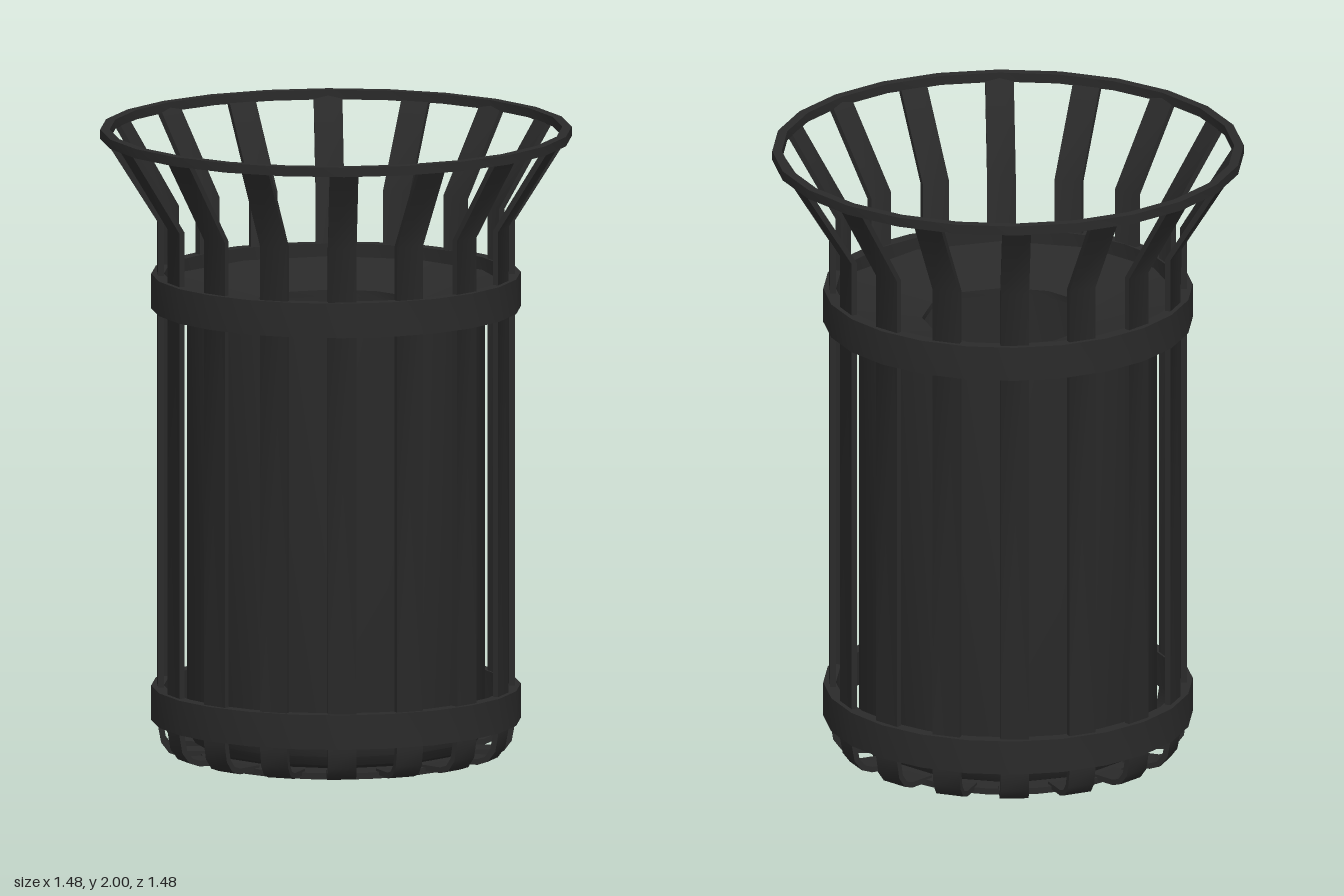
import * as THREE from 'three';
import { toCreasedNormals } from 'three/addons/utils/BufferGeometryUtils.js';

const SLATS = 16;
const material = new THREE.MeshStandardMaterial({ color: 0x2a2a2a, side: THREE.DoubleSide });

// Revolve [radius, height] points, keeping sharp edges
function revolve(name, points, sides, turn = 0) {
  const profile = points.map(([r, y]) => new THREE.Vector2(r, y));
  const geometry = toCreasedNormals(new THREE.LatheGeometry(profile, sides), 0.6);
  geometry.rotateY(turn);
  const mesh = new THREE.Mesh(geometry, material);
  mesh.name = name;
  return mesh;
}

// Hoop with a rectangular section
function hoop(name, inner, outer, y0, y1) {
  return revolve(name, [[inner, y0], [outer, y0], [outer, y1], [inner, y1], [inner, y0]], 24);
}

// Flat bar: a path in the radius/height plane, thickened inwards and given a width
function slatGeometry(path, thickness, width) {
  const pts = path.map(([r, y]) => new THREE.Vector2(r, y));
  const inner = pts.map((p, i) => {
    const a = pts[Math.max(i - 1, 0)];
    const b = pts[Math.min(i + 1, pts.length - 1)];
    const dir = b.clone().sub(a).normalize();
    return new THREE.Vector2(p.x - dir.y * thickness, p.y + dir.x * thickness);
  });
  const shape = new THREE.Shape([...pts, ...inner.reverse()]);
  const geometry = new THREE.ExtrudeGeometry(shape, { depth: width, bevelEnabled: false });
  geometry.translate(0, 0, -width / 2);
  return toCreasedNormals(geometry, 0.6);
}

export function createModel() {
  const group = new THREE.Group();
  group.name = 'litterBin';

  // Slats: curled under at the foot, upright, then flared to the rim
  const slat = slatGeometry([
    [0.40, 0.01], [0.49, 0.01], [0.525, 0.022], [0.55, 0.055], [0.56, 0.11],
    [0.56, 1.71], [0.73, 1.98],
  ], 0.018, 0.09);
  const slats = new THREE.Group();
  slats.name = 'slats';
  for (let i = 0; i < SLATS; i++) {
    const mesh = new THREE.Mesh(slat, material);
    mesh.name = 'slat';
    mesh.rotation.y = (i / SLATS) * Math.PI * 2;
    slats.add(mesh);
  }
  group.add(slats);

  // Hoops holding the slats
  group.add(hoop('lowerBand', 0.54, 0.58, 0.12, 0.23));
  group.add(hoop('upperBand', 0.54, 0.58, 1.43, 1.54));
  group.add(hoop('topRim', 0.71, 0.74, 1.97, 2.0));

  // Base plate
  group.add(revolve('basePlate', [[0, 0], [0.43, 0], [0.43, 0.02], [0, 0.02]], 32));

  // Twelve-sided liner with rounded foot, open at the top
  const turn = Math.PI / 12;
  group.add(revolve('liner', [
    [0, 0.03], [0.40, 0.03], [0.44, 0.045], [0.46, 0.075], [0.468, 0.12], [0.468, 1.45],
    [0.45, 1.45], [0.45, 0.12], [0.42, 0.065], [0.38, 0.05], [0, 0.05],
  ], 12, turn));

  // Funnel lid with a central opening
  group.add(revolve('lid', [
    [0.468, 1.44], [0.54, 1.44], [0.54, 1.50], [0.27, 1.44], [0.27, 1.42], [0.468, 1.44],
  ], 12, turn));

  return group;
}
